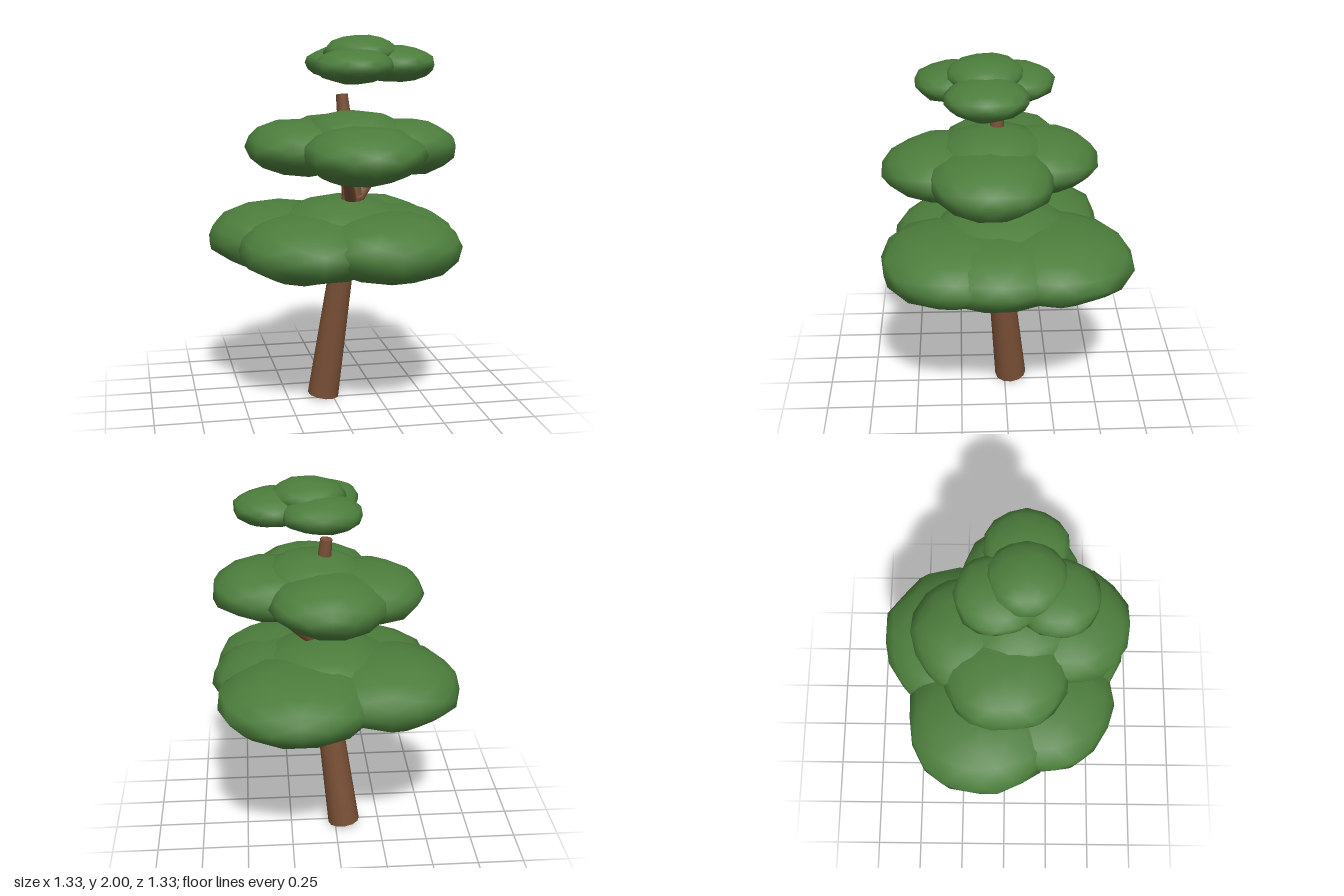
import * as THREE from 'three';
import { mergeVertices } from 'three/addons/utils/BufferGeometryUtils.js';

const foliage = new THREE.MeshStandardMaterial({ color: 0x4c7d3c });
foliage.name = 'leaf green';
const bark = new THREE.MeshStandardMaterial({ color: 0x7a5037 });
bark.name = 'bark brown';

// small seeded generator for the uneven leaf outlines
let seed = 7;
const rand = () => (seed = (seed * 16807) % 2147483647) / 2147483647;

// flattened, slightly lumpy leaf pad
function pad(name, [x, y, z, r, ry]) {
  let geo = new THREE.IcosahedronGeometry(1, 2);
  geo.deleteAttribute('normal');
  geo.deleteAttribute('uv');
  geo = mergeVertices(geo, 1e-3);
  const p = geo.attributes.position;
  for (let i = 0; i < p.count; i++) {
    const k = 0.97 + rand() * 0.08;
    p.setXYZ(i, p.getX(i) * k * r, p.getY(i) * k * ry, p.getZ(i) * k * r);
  }
  geo.computeVertexNormals();
  const mesh = new THREE.Mesh(geo, foliage);
  mesh.name = name;
  mesh.position.set(x, y, z);
  mesh.rotation.y = 0;
  return mesh;
}

// tapered limb between two points
function limb(name, from, to, r0, r1) {
  const a = new THREE.Vector3(...from), b = new THREE.Vector3(...to);
  const dir = b.clone().sub(a);
  const mesh = new THREE.Mesh(new THREE.CylinderGeometry(r1, r0, dir.length(), 12), bark);
  mesh.name = name;
  mesh.position.copy(a).add(b).multiplyScalar(0.5);
  mesh.quaternion.setFromUnitVectors(new THREE.Vector3(0, 1, 0), dir.normalize());
  return mesh;
}

// leaf pads of each tier: x, y, z, radius, half height
const TIERS = {
  lowerFoliage: [
    [0.29, 0.91, 0.04, 0.38, 0.175],
    [0.23, 0.91, 0.27, 0.40, 0.18],
    [-0.15, 0.9, 0.19, 0.40, 0.175],
    [-0.26, 0.91, -0.12, 0.41, 0.18],
    [0.21, 0.91, -0.26, 0.42, 0.18],
    [0.05, 0.97, 0.01, 0.38, 0.165],
  ],
  middleFoliage: [
    [0.33, 1.41, 0.08, 0.32, 0.15],
    [0.1, 1.4, 0.32, 0.32, 0.15],
    [-0.15, 1.41, 0.0, 0.325, 0.15],
    [0.04, 1.41, -0.17, 0.315, 0.15],
    [0.1, 1.465, 0.07, 0.29, 0.14],
  ],
  topFoliage: [
    [0.31, 1.85, 0.1, 0.21, 0.095],
    [0.06, 1.85, 0.25, 0.205, 0.09],
    [0.07, 1.85, -0.04, 0.21, 0.09],
    [0.13, 1.91, 0.1, 0.195, 0.088],
  ],
};

export function createModel() {
  const tree = new THREE.Group();
  tree.name = 'tree';

  // leaning trunk that bends back above the fork
  const trunk = new THREE.Group();
  trunk.name = 'trunk';
  const fork = [0.09, 1.15, 0.065];
  trunk.add(
    limb('lowerTrunk', [-0.05, 0.01, -0.035], fork, 0.088, 0.055),
    limb('upperTrunk', fork, [0.04, 1.69, 0.035], 0.055, 0.032),
    limb('rightBranch', [0.1, 1.1, 0.06], [0.31, 1.33, -0.1], 0.035, 0.022),
    limb('frontBranch', [0.09, 1.1, 0.06], [0.01, 1.32, 0.31], 0.035, 0.022),
  );
  tree.add(trunk);

  // three tiers of leaf pads
  for (const [name, pads] of Object.entries(TIERS)) {
    const tier = new THREE.Group();
    tier.name = name;
    pads.forEach((spec, i) => tier.add(pad(`leafPad${i + 1}`, spec)));
    tree.add(tier);
  }
  return tree;
}
